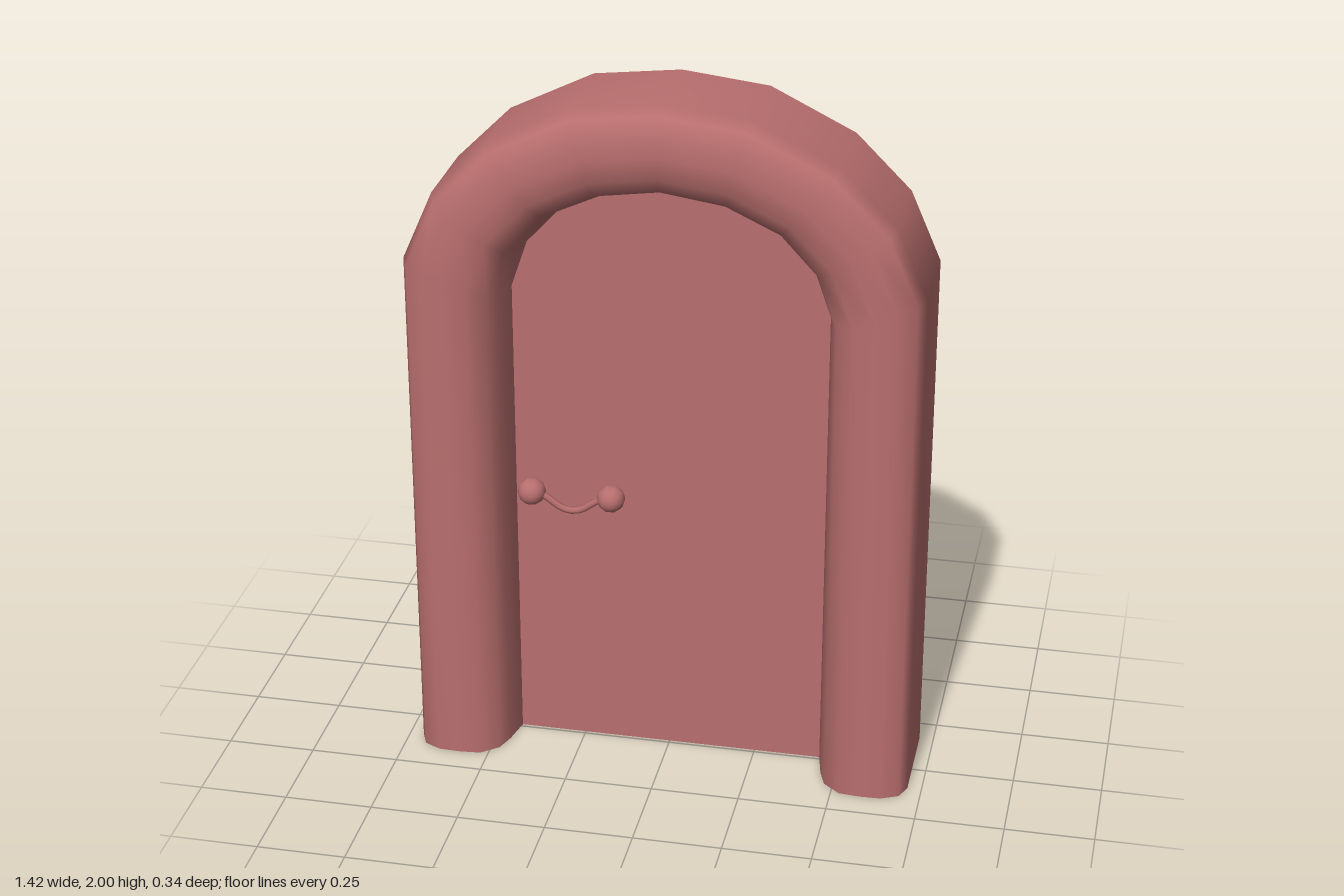
import * as THREE from 'three';

const DOOR_Z = -0.01;

// right half of the arch, foot to crown
const OUTER = [[0.71, 0], [0.71, 1.51], [0.625, 1.705], [0.473, 1.857], [0.24, 1.972], [0, 2]];
const INNER = [[0.44, 0], [0.44, 1.405], [0.395, 1.538], [0.3, 1.643], [0.165, 1.705], [0, 1.73]];

// frame cross-section: [0 = outer edge .. 1 = inner edge, z]
const PROFILE = [
  [0, -0.17], [0, 0.1], [0.07, 0.145], [0.25, 0.168], [0.47, 0.17], [0.69, 0.165],
  [0.87, 0.125], [0.94, 0.07], [1, DOOR_Z], [1, -0.17],
];

// adds the mirrored left half, so the path runs foot to foot
const mirrored = (half) => [...half, ...half.slice(0, -1).reverse().map(([x, y]) => [-x, y])];

// sweeps the cross-section along the arch as an open shell
function frameGeometry() {
  const outer = mirrored(OUTER), inner = mirrored(INNER);
  const positions = [], index = [], n = PROFILE.length;
  outer.forEach(([ox, oy], i) => {
    const [ix, iy] = inner[i];
    for (const [t, z] of PROFILE) positions.push(ox + (ix - ox) * t, oy + (iy - oy) * t, z);
  });
  for (let i = 0; i < outer.length - 1; i++) {
    for (let j = 0; j < n - 1; j++) {
      const a = i * n + j, b = a + n;
      index.push(a, b, b + 1, a, b + 1, a + 1);
    }
  }
  const geometry = new THREE.BufferGeometry();
  geometry.setAttribute('position', new THREE.Float32BufferAttribute(positions, 3));
  geometry.setIndex(index);
  geometry.computeVertexNormals();
  return geometry;
}

export function createModel() {
  const group = new THREE.Group();
  const material = new THREE.MeshStandardMaterial({ color: 0xb86e6e, side: THREE.DoubleSide });
  const add = (name, geometry, parent = group) => {
    const mesh = new THREE.Mesh(geometry, material);
    mesh.name = name;
    parent.add(mesh);
    return mesh;
  };

  add('archFrame', frameGeometry());

  // flat door leaf filling the arch
  const leaf = new THREE.Shape(mirrored(INNER).map(([x, y]) => new THREE.Vector2(x, y)));
  add('doorLeaf', new THREE.ShapeGeometry(leaf)).position.z = DOOR_Z;

  // handle: two knobs joined by a sagging bar
  const handle = new THREE.Group();
  handle.name = 'handle';
  handle.position.set(-0.279, 0.785, DOOR_Z);
  group.add(handle);
  const r = 0.04, cut = Math.PI * 0.62;
  for (const side of [-1, 1]) {
    const knob = new THREE.SphereGeometry(r, 10, 6, 0, Math.PI * 2, 0, cut);
    knob.rotateX(Math.PI / 2);
    add(side < 0 ? 'outerKnob' : 'innerKnob', knob, handle)
      .position.set(side * 0.114, 0, -r * Math.cos(cut));
  }
  const sag = new THREE.CatmullRomCurve3([
    [-0.1, 0.005], [-0.06, -0.022], [-0.03, -0.043], [0, -0.05], [0.03, -0.043], [0.06, -0.022], [0.1, 0.005],
  ].map(([x, y]) => new THREE.Vector3(x, y, 0.014)));
  add('handleBar', new THREE.TubeGeometry(sag, 12, 0.01, 6), handle);

  return group;
}
